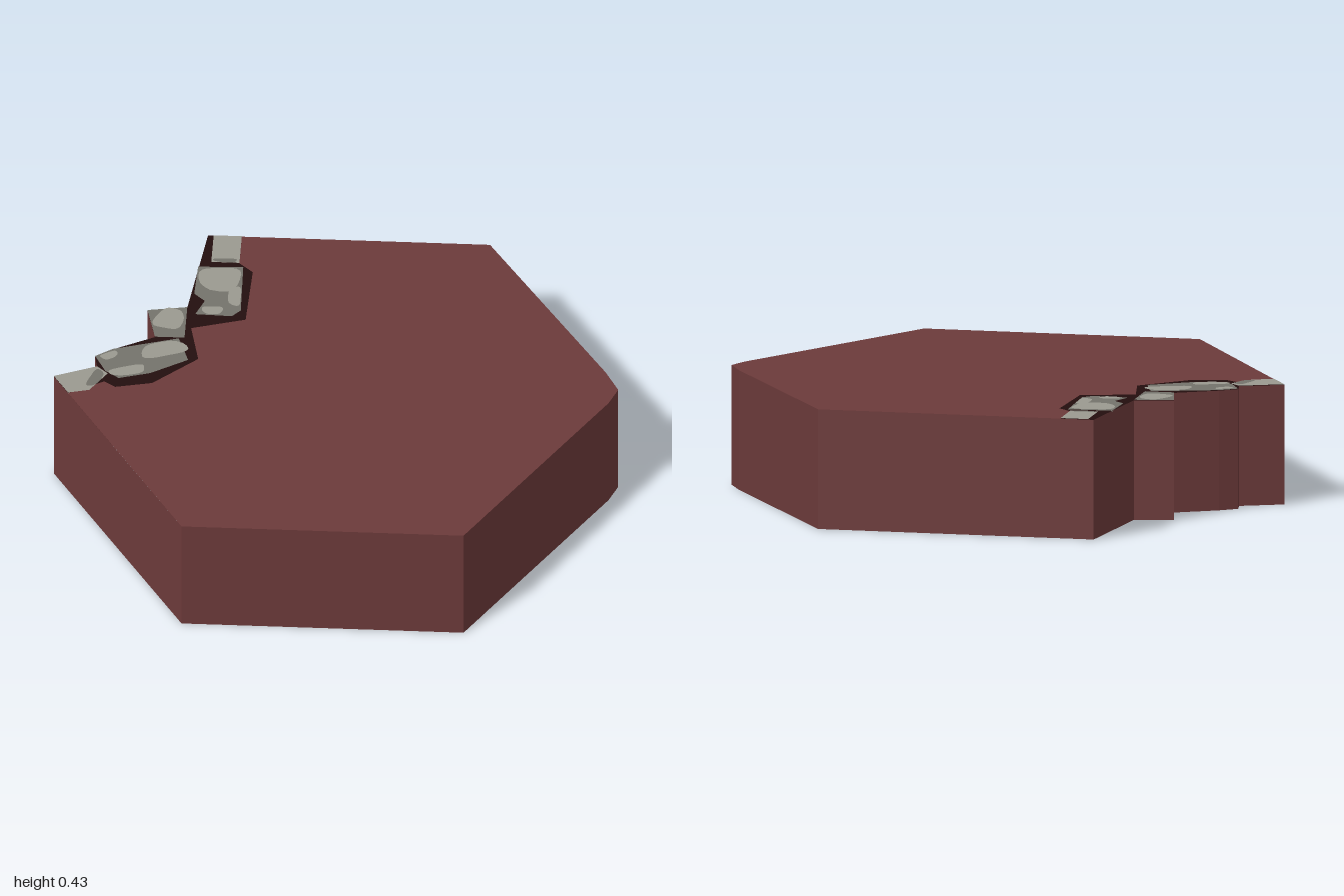
import * as THREE from 'three';

const HEIGHT = 0.43;
const mat = (name, color) => {
  const m = new THREE.MeshStandardMaterial({ color, side: THREE.DoubleSide });
  m.name = name;
  return m;
};

// Outlines are lists of [x, z] points in plan.
const HEX_CORNERS = [
  [-0.5, 0.857], [0.5, 0.857], [0.97, 0.05], [1, -0.03], [0.95, -0.13], [0.5, -0.857],
];
const BROKEN_EDGE = [
  [-0.5, -0.857], [-0.55, -0.43], [-0.69, -0.405], [-0.655, -0.25],
  [-0.8, -0.17], [-0.86, -0.125], [-0.85, -0.065], [-1, 0],
];
// Inner limit of the dark mortar, from the back edge to the side corner
const MORTAR_EDGE = [
  [-0.38, -0.857], [-0.38, -0.7], [-0.33, -0.65], [-0.34, -0.37], [-0.53, -0.31],
  [-0.495, -0.13], [-0.65, 0.02], [-0.78, 0.05], [-0.82, 0.02], [-0.944, 0.095],
];

// Flat horizontal plate from a plan outline
function plate(name, points, y, material) {
  const shape = new THREE.Shape(points.map(([x, z]) => new THREE.Vector2(x, -z)));
  const mesh = new THREE.Mesh(new THREE.ShapeGeometry(shape).rotateX(-Math.PI / 2), material);
  mesh.position.y = y;
  mesh.name = name;
  return mesh;
}

// Irregular rounded patch: centre, half sizes and turn in plan
function blob(x, z, rx, rz, turn) {
  const square = (v) => Math.sign(v) * Math.abs(v) ** 0.7;
  const points = [];
  for (let i = 0; i < 20; i++) {
    const t = (i / 20) * Math.PI * 2;
    const r = 0.92 + 0.08 * Math.sin(3 * t + x * 20);
    const u = rx * r * square(Math.cos(t));
    const v = rz * r * square(Math.sin(t));
    points.push([x + u * Math.cos(turn) - v * Math.sin(turn), z + u * Math.sin(turn) + v * Math.cos(turn)]);
  }
  return points;
}

// Vertical wall band around a closed outline, with hard corners
function wallBand(points) {
  const pos = [];
  points.forEach(([x0, z0], i) => {
    const [x1, z1] = points[(i + 1) % points.length];
    pos.push(x0, 0, z0, x1, 0, z1, x1, HEIGHT, z1, x0, 0, z0, x1, HEIGHT, z1, x0, HEIGHT, z0);
  });
  const geo = new THREE.BufferGeometry();
  geo.setAttribute('position', new THREE.Float32BufferAttribute(pos, 3));
  geo.computeVertexNormals();
  return geo;
}

export function createModel() {
  const group = new THREE.Group();
  group.name = 'brokenHexTile';
  const clay = mat('redClay', 0x6c3a3a);
  const mortar = mat('darkMortar', 0x230e0e);
  const stoneDark = mat('shadowedStone', 0x74736b);
  const stoneLight = mat('wornStone', 0x9a9990);

  // Open-bottomed shell
  const walls = new THREE.Mesh(wallBand([...HEX_CORNERS, ...BROKEN_EDGE]), clay);
  walls.name = 'walls';
  group.add(walls);
  group.add(plate('topSurface', [...HEX_CORNERS, ...MORTAR_EDGE], HEIGHT, clay));

  // Mortar strip along the broken edge
  group.add(plate('mortarStrip', [...BROKEN_EDGE, ...[...MORTAR_EDGE].reverse()], HEIGHT, mortar));

  // Stones show on both faces of the thin top
  const addStone = (name, outline, base, patch, patches) => {
    for (const side of [1, -1]) {
      group.add(plate(name, outline, HEIGHT + side * 0.002, base));
      patches.forEach((p) => group.add(plate(`${name}Patch`, blob(...p), HEIGHT + side * 0.004, patch)));
    }
  };
  addStone('backStone', [[-0.48, -0.857], [-0.38, -0.857], [-0.38, -0.7], [-0.48, -0.7]],
    stoneLight, stoneDark, [[-0.43, -0.71, 0.045, 0.012, 0]]);
  addStone('largeStone', [[-0.525, -0.67], [-0.365, -0.675], [-0.36, -0.42], [-0.39, -0.385],
    [-0.52, -0.39], [-0.49, -0.47], [-0.53, -0.51]],
  stoneDark, stoneLight, [[-0.443, -0.6, 0.08, 0.075, 0], [-0.385, -0.5, 0.025, 0.06, 0], [-0.46, -0.415, 0.04, 0.025, 0]]);
  addStone('cornerStone', [[-0.69, -0.405], [-0.55, -0.43], [-0.55, -0.25], [-0.655, -0.25]],
    stoneDark, stoneLight, [[-0.61, -0.355, 0.055, 0.065, 0.3]]);
  addStone('longStone', [[-0.86, -0.125], [-0.8, -0.17], [-0.57, -0.245], [-0.53, -0.12],
    [-0.66, -0.035], [-0.77, 0], [-0.82, -0.04]],
  stoneDark, stoneLight, [[-0.62, -0.175, 0.09, 0.045, -0.35], [-0.74, -0.045, 0.07, 0.028, -0.3], [-0.81, -0.13, 0.035, 0.02, -0.6]]);
  addStone('sideStone', [[-1, 0], [-0.85, -0.065], [-0.81, -0.025], [-0.87, 0.075], [-0.944, 0.095]],
    stoneLight, stoneDark, [[-0.853, 0.005, 0.022, 0.055, 0.35]]);
  return group;
}
